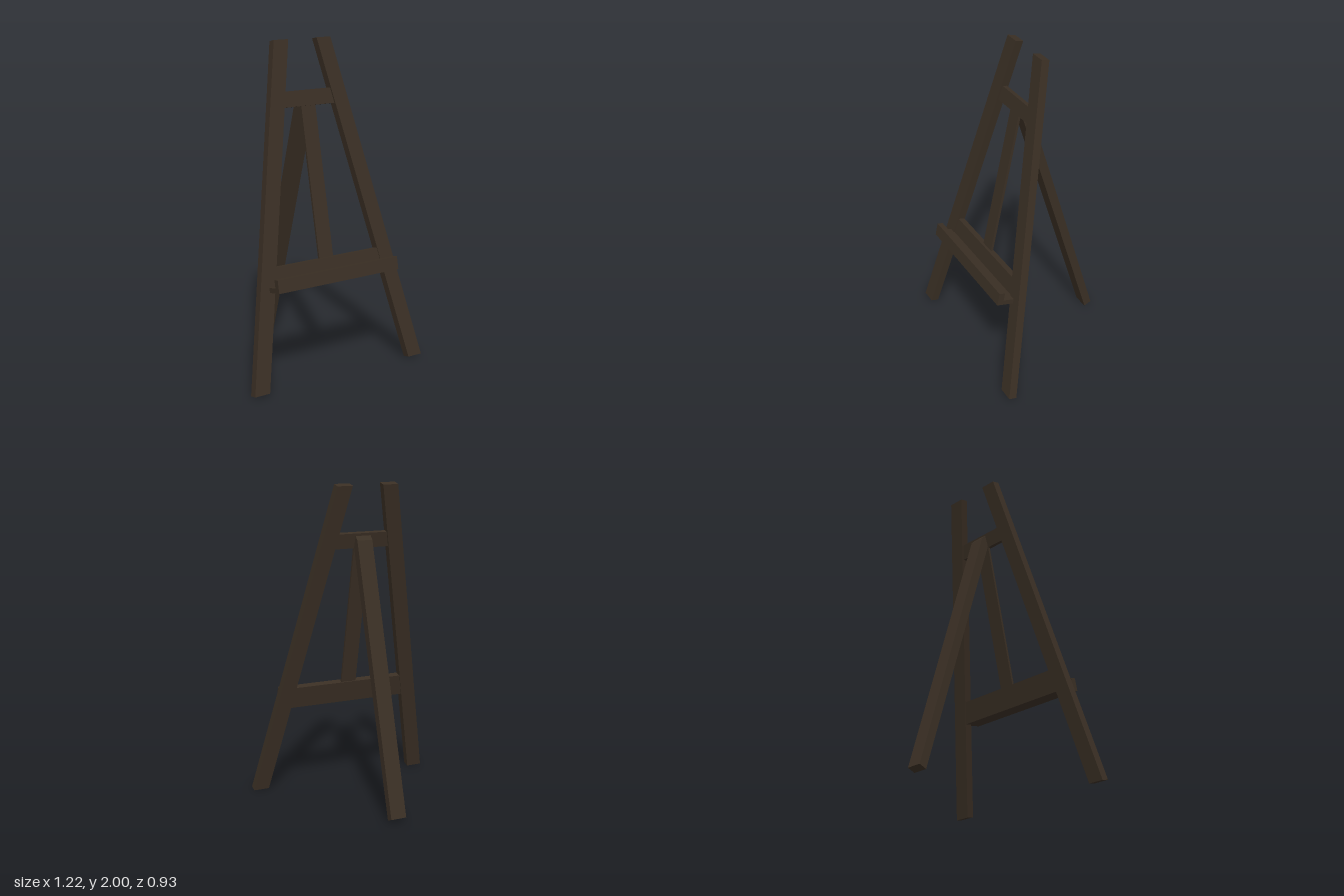
import * as THREE from 'three';

export function createModel() {
  const model = new THREE.Group();
  model.name = 'easel';
  const wood = new THREE.MeshStandardMaterial({ color: 0x3a2f24 });
  wood.name = 'darkWood';

  // Leaning front frame: local y runs up the slope, local z faces out of it
  const frame = new THREE.Group();
  frame.name = 'frontFrame';
  frame.position.z = 0.417;
  frame.rotation.x = -0.2213;
  model.add(frame);

  function extrude(name, points, depth, parent) {
    const shape = new THREE.Shape(points.map(([x, y]) => new THREE.Vector2(x, y)));
    const geometry = new THREE.ExtrudeGeometry(shape, { depth, bevelEnabled: false });
    const mesh = new THREE.Mesh(geometry, wood);
    mesh.name = name;
    parent.add(mesh);
    return mesh;
  }

  // Board centred on x, spanning y0..y1 and z0..z1 in the frame
  function board(name, halfWidth, y0, y1, z0, z1) {
    const mesh = new THREE.Mesh(new THREE.BoxGeometry(2 * halfWidth, y1 - y0, z1 - z0), wood);
    mesh.name = name;
    mesh.position.set(0, (y0 + y1) / 2, (z0 + z1) / 2);
    frame.add(mesh);
  }

  // Splayed front legs
  for (const [name, s] of [['leftLeg', 1], ['rightLeg', -1]]) {
    extrude(name, [[0.51 * s, 0], [0.61 * s, 0], [0.2 * s, 2.04], [0.1 * s, 2.04]], 0.05, frame);
  }

  // Crossbars and the centre slat between them
  board('upperCrossbar', 0.2, 1.64, 1.735, 0.01, 0.04);
  board('lowerCrossbar', 0.41, 0.58, 0.72, 0.005, 0.045);
  board('centreSlat', 0.05, 0.7, 1.66, 0.012, 0.027);

  // Canvas ledge with its raised lip
  board('ledge', 0.43, 0.58, 0.61, 0.045, 0.12);
  board('ledgeLip', 0.43, 0.58, 0.66, 0.12, 0.157);

  // Rear prop leg, drawn as a side profile (z, y) and turned across x
  const rear = extrude('rearLeg', [
    [-0.42, 0.01], [0.067, 1.61], [0.042, 1.68], [0.017, 1.655], [-0.468, 0.03],
  ], 0.1, model);
  rear.geometry.rotateY(-Math.PI / 2).translate(0.05, 0, 0);

  return model;
}
